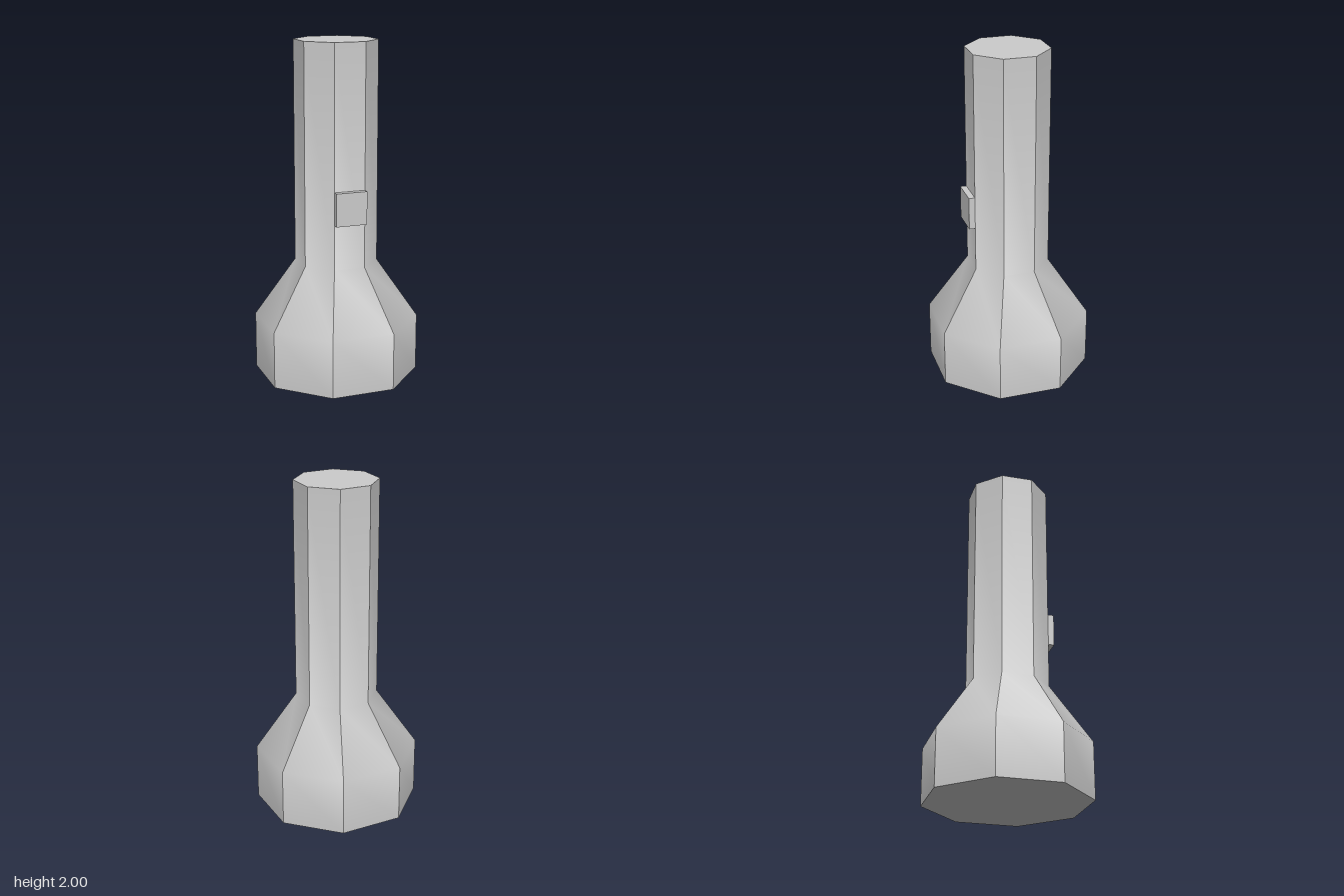
import * as THREE from 'three';
import { toCreasedNormals } from 'three/addons/utils/BufferGeometryUtils.js';

const SIDES = 8;
const HEAD_R = 0.49;
const HANDLE_R = 0.245;

export function createModel() {
  const group = new THREE.Group();
  group.name = 'flashlight';
  const material = new THREE.MeshStandardMaterial({ color: 0xcccccc });

  // Octagonal body: wide head, taper and handle, closed at both ends.
  // The crease angle keeps the upright edges sharp and the taper bends soft.
  const profile = [
    [0, 0], [HEAD_R, 0], [HEAD_R, 0.34], [HANDLE_R, 0.69], [HANDLE_R, 2], [0, 2],
  ].map(([r, y]) => new THREE.Vector2(r, y));
  const bodyGeometry = toCreasedNormals(
    new THREE.LatheGeometry(profile, SIDES),
    THREE.MathUtils.degToRad(35)
  );
  const body = new THREE.Mesh(bodyGeometry, material);
  body.name = 'body';
  group.add(body);

  // Switch: a flat block as wide as one handle face, its back sunk into it
  const half = Math.PI / SIDES;
  const faceDistance = HANDLE_R * Math.cos(half);
  const faceWidth = 2 * HANDLE_R * Math.sin(half);
  const sunk = 0.02;
  const raised = 0.036;
  const switchGeometry = new THREE.BoxGeometry(faceWidth, 0.195, sunk + raised);
  switchGeometry.translate(0, 1.055, faceDistance + (raised - sunk) / 2);
  const powerSwitch = new THREE.Mesh(switchGeometry, material);
  powerSwitch.name = 'switch';
  powerSwitch.rotation.y = half;
  group.add(powerSwitch);

  return group;
}
